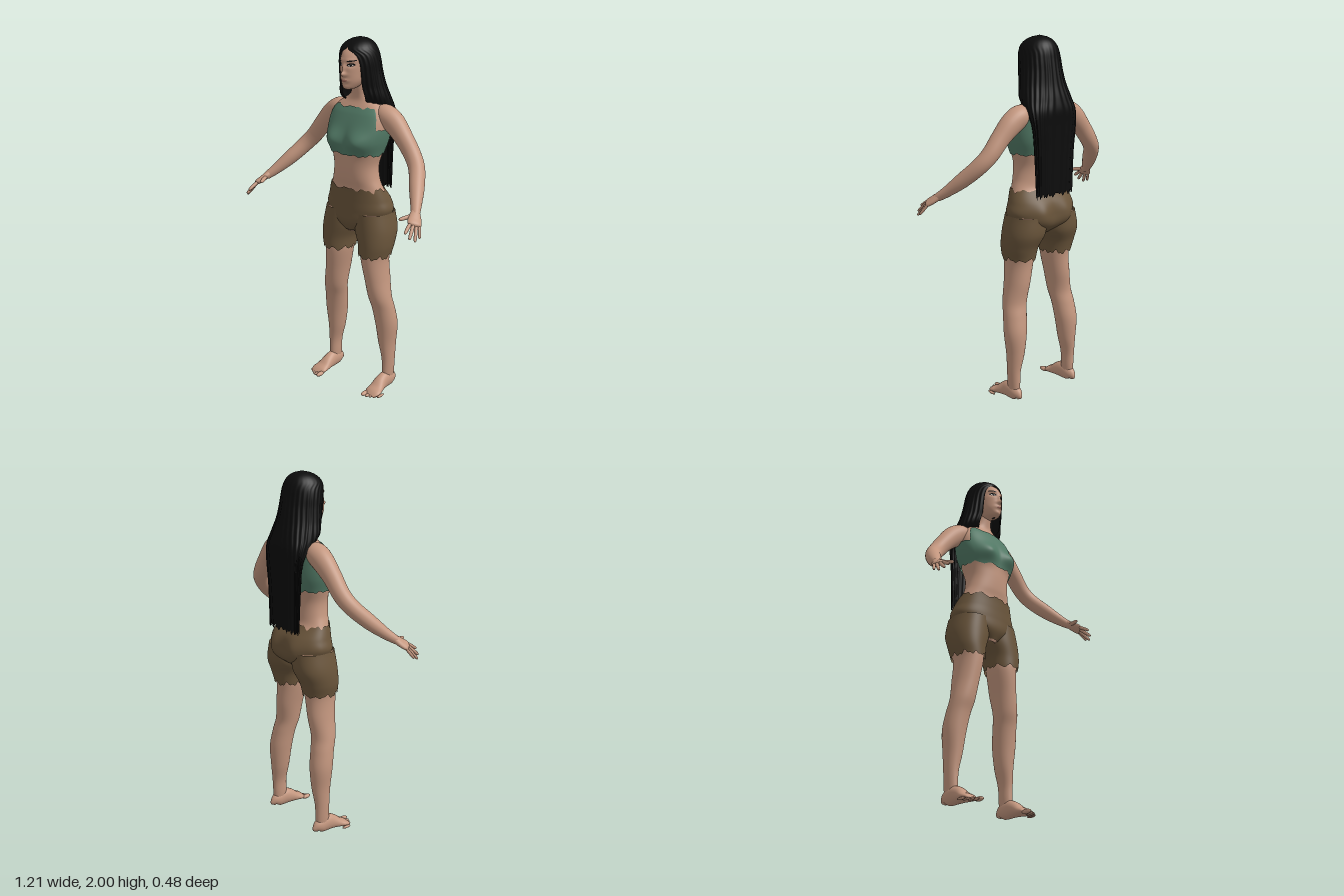
import * as THREE from 'three';
import { mergeVertices } from 'three/addons/utils/BufferGeometryUtils.js';

const V3 = THREE.Vector3, TAU = Math.PI * 2;
const { lerp, clamp, smoothstep } = THREE.MathUtils;
const bell = (d, s) => Math.exp(-(d * d) / (s * s));

// Smooth interpolation of a table whose first column is the ascending key
function sample(t, k) {
  let i = 0;
  while (i < t.length - 2 && k > t[i + 1][0]) i++;
  const a = t[i], b = t[i + 1], p = t[i - 1] ?? a, n = t[i + 2] ?? b;
  const h = b[0] - a[0], s = clamp((k - a[0]) / h, 0, 1), s2 = s * s, s3 = s2 * s;
  return a.map((_, c) => {
    const m0 = (b[c] - p[c]) / (b[0] - p[0]) * h, m1 = (n[c] - a[c]) / (n[0] - a[0]) * h;
    return a[c] * (2 * s3 - 3 * s2 + 1) + m0 * (s3 - 2 * s2 + s) + b[c] * (3 * s2 - 2 * s3) + m1 * (s3 - s2);
  });
}

// Smooth surface from a function of u (around) and v (along)
function surface(fn, nu, nv) {
  const pos = [], idx = [];
  for (let j = 0; j <= nv; j++) for (let i = 0; i <= nu; i++) pos.push(...fn(i / nu, j / nv).toArray());
  for (let j = 0; j < nv; j++) for (let i = 0; i < nu; i++) {
    const a = j * (nu + 1) + i, b = a + 1, c = b + nu + 1, d = c - 1;
    idx.push(a, b, c, a, c, d);
  }
  let g = new THREE.BufferGeometry();
  g.setAttribute('position', new THREE.Float32BufferAttribute(pos, 3));
  g.setIndex(idx);
  g = mergeVertices(g, 1e-5);
  g.computeVertexNormals();
  return g;
}

// Point on a level cross-section; rows are [y, centre x, front z, back z, half width, squareness]
function ring(table, y, a, off = 0) {
  const [, cx, zf, zb, hw, p] = sample(table, y);
  const pw = (v) => Math.sign(v) * Math.abs(v) ** (2 / p);
  return new V3(cx + (hw + off) * pw(Math.sin(a)), y, (zf + zb) / 2 + ((zf - zb) / 2 + off) * pw(Math.cos(a)));
}

// Limb along a path; rows are [x, y, z, radius along side, other radius]
function limb(rows, side, nu = 24, nv = 40) {
  const t = rows.map((r, i) => [i, ...r]), last = rows.length - 1;
  const at = (k) => new V3(...sample(t, k).slice(1, 4));
  return surface((u, v) => {
    const k = v * last, r = sample(t, k), a = u * TAU;
    const dir = at(Math.min(k + 0.05, last)).sub(at(Math.max(k - 0.05, 0))).normalize();
    const U = side.clone().addScaledVector(dir, -side.dot(dir)).normalize(), W = dir.clone().cross(U);
    return at(k).addScaledVector(U, Math.cos(a) * Math.max(r[4], 0)).addScaledVector(W, Math.sin(a) * Math.max(r[5], 0));
  }, nu, nv);
}

function mirrored(g) {
  const m = g.clone().scale(-1, 1, 1), ix = m.index.array;
  for (let i = 0; i < ix.length; i += 3) [ix[i], ix[i + 1]] = [ix[i + 1], ix[i]];
  m.computeVertexNormals();
  return m;
}

const TORSO = [
  [0.94, 0, 0, -0.12, 0.04, 2], [1.0, 0, 0.028, -0.195, 0.15, 2.2], [1.07, 0, 0.028, -0.205, 0.2, 2.2],
  [1.13, 0, 0.026, -0.195, 0.186, 2.2], [1.2, 0, 0.026, -0.15, 0.16, 2.2], [1.25, 0, 0.035, -0.145, 0.142, 2.2],
  [1.32, 0, 0.04, -0.15, 0.134, 2.2], [1.39, 0, 0.04, -0.165, 0.15, 2.3], [1.46, 0, 0.04, -0.18, 0.17, 2.5],
  [1.53, 0, 0.025, -0.185, 0.178, 2.5], [1.6, 0, -0.005, -0.185, 0.17, 2.5], [1.64, 0, -0.03, -0.175, 0.145, 2.4],
  [1.67, 0, -0.045, -0.165, 0.1, 2.2], [1.7, 0, -0.045, -0.15, 0.062, 2], [1.79, 0, -0.03, -0.14, 0.046, 2]];
const LEG = [
  [0.03, 0.2, -0.06, -0.14, 0.025, 2], [0.1, 0.2, -0.06, -0.145, 0.03, 2], [0.18, 0.2, -0.06, -0.148, 0.034, 2],
  [0.28, 0.19, -0.05, -0.16, 0.048, 2], [0.4, 0.186, -0.036, -0.165, 0.063, 2], [0.5, 0.175, -0.02, -0.148, 0.066, 2],
  [0.57, 0.163, 0, -0.135, 0.067, 2], [0.68, 0.144, 0.015, -0.147, 0.067, 2], [0.8, 0.128, 0.028, -0.152, 0.074, 2],
  [0.88, 0.13, 0.028, -0.17, 0.085, 2.1], [0.96, 0.115, 0.025, -0.2, 0.1, 2.2], [1.06, 0.1, 0.018, -0.2, 0.094, 2.2]];
const HEAD = [
  [1.732, 0, 0.015, -0.01, 0.004, 2], [1.738, 0, 0.033, -0.035, 0.024, 2], [1.752, 0, 0.042, -0.07, 0.041, 2],
  [1.78, 0, 0.047, -0.1, 0.058, 2], [1.82, 0, 0.05, -0.14, 0.068, 2], [1.87, 0, 0.049, -0.16, 0.073, 2],
  [1.92, 0, 0.034, -0.165, 0.072, 2], [1.955, 0, -0.002, -0.15, 0.06, 2], [1.985, 0, -0.07, -0.1, 0.005, 2]];
// Hair rows carry a seventh value: half width of the opening at the face
const HAIR = [
  [1.16, 0, -0.188, -0.224, 0.122, 2.8, 0], [1.4, 0, -0.175, -0.23, 0.13, 2.8, 0], [1.55, 0, -0.165, -0.236, 0.143, 2.8, 0],
  [1.62, 0, -0.11, -0.24, 0.149, 2.7, 0.03], [1.68, 0, -0.03, -0.23, 0.145, 2.4, 0.073], [1.75, 0, 0, -0.213, 0.13, 2.1, 0.07],
  [1.82, 0, 0.02, -0.2, 0.119, 2, 0.072], [1.88, 0, 0.028, -0.19, 0.113, 2, 0.068], [1.92, 0, 0.03, -0.183, 0.105, 2, 0.05],
  [1.95, 0, 0.022, -0.172, 0.092, 2, 0], [1.975, 0, -0.005, -0.152, 0.07, 2, 0], [1.992, 0, -0.042, -0.122, 0.038, 2, 0],
  [2.0, 0, -0.08, -0.084, 0.002, 2, 0]];

function torsoPoint(y, a, off) {
  const p = ring(TORSO, y, a, off), front = smoothstep(Math.cos(a), 0, 0.5), back = smoothstep(-Math.cos(a), 0, 0.5);
  p.z += 0.035 * front * bell(Math.abs(p.x) - 0.085, 0.065) * bell(y - 1.46, 0.055);
  p.z -= 0.024 * back * bell(Math.abs(p.x) - 0.085, 0.055) * bell(y - 1.06, 0.07);
  return p;
}

// Relief of nose, lips, chin, brow and eye sockets
function faceRelief(x, y) {
  const ax = Math.abs(x);
  return 0.017 * bell(x, 0.01) * bell(y - 1.82, 0.013) + 0.01 * bell(x, 0.01) * bell(y - 1.848, 0.022)
    + 0.006 * bell(x, 0.02) * bell(y - 1.817, 0.01) + 0.007 * bell(x, 0.024) * bell(y - 1.785, 0.01)
    + 0.005 * bell(x, 0.025) * bell(y - 1.75, 0.012) + 0.004 * bell(ax - 0.03, 0.025) * bell(y - 1.89, 0.01)
    - 0.008 * bell(ax - 0.033, 0.018) * bell(y - 1.866, 0.012);
}
function headPoint(y, a) {
  const p = ring(HEAD, y, a);
  p.z += faceRelief(p.x, y) * smoothstep(Math.cos(a), 0, 0.4);
  return p;
}

// Thin oval painted on the face
function facePaint(cx, cy, rx, ry, tilt, lift) {
  const g = new THREE.RingGeometry(0.001, 1, 24, 4).scale(rx, ry, 1).rotateZ(tilt).translate(cx, cy, 0);
  const p = g.attributes.position;
  for (let i = 0; i < p.count; i++) {
    const x = p.getX(i), y = p.getY(i), [, , zf, zb, hw] = sample(HEAD, y);
    p.setZ(i, (zf + zb) / 2 + (zf - zb) / 2 * Math.sqrt(Math.max(0, 1 - (x / hw) ** 2)) + faceRelief(x, y) + lift);
  }
  g.computeVertexNormals();
  return g;
}

// Torn cloth edge
const tear = (a, amp) => amp * (Math.abs(Math.sin(a * 4.5)) ** 6 * 1.2 + 0.5 * Math.sin(a * 13 + 1) * Math.sin(a * 7));

export function createModel() {
  const root = new THREE.Group();
  const material = (name, color, open) => {
    const m = new THREE.MeshStandardMaterial({ color });
    m.name = name;
    if (open) m.side = THREE.DoubleSide;
    return m;
  };
  const skin = material('skin', 0xc4977f), green = material('green cloth', 0x527a66, true);
  const brown = material('brown cloth', 0x6a553b, true), black = material('black hair', 0x0c0c0c, true);
  const lipTone = material('lips', 0xa06c5e), white = material('eye white', 0xd2c8c0);
  const add = (name, geo, mat) => {
    const m = new THREE.Mesh(geo, mat);
    m.name = name;
    root.add(m);
  };
  const pair = (name, geo, mat) => {
    add(name + 'Left', geo, mat);
    add(name + 'Right', mirrored(geo), mat);
  };

  // Body and head
  add('torso', surface((u, v) => torsoPoint(lerp(0.94, 1.79, v), u * TAU, 0), 64, 80), skin);
  add('head', surface((u, v) => headPoint(lerp(1.732, 1.985, v), u * TAU), 120, 90), skin);
  pair('leg', surface((u, v) => ring(LEG, lerp(0.03, 1.06, v), u * TAU), 40, 70), skin);

  // Face details
  pair('eyeOutline', facePaint(0.034, 1.867, 0.018, 0.0085, 0.1, 0.002), black);
  pair('eyeWhite', facePaint(0.034, 1.865, 0.012, 0.0042, 0.1, 0.0032), white);
  pair('iris', facePaint(0.034, 1.865, 0.0048, 0.0045, 0, 0.0042), black);
  pair('eyebrow', facePaint(0.037, 1.888, 0.021, 0.0034, 0.14, 0.0025), black);
  add('upperLip', facePaint(0, 1.788, 0.021, 0.0035, 0, 0.002), lipTone);
  add('lowerLip', facePaint(0, 1.781, 0.017, 0.0042, 0, 0.002), lipTone);

  // Long hair, parted around the face and falling down the back
  add('hair', surface((u, v) => {
    const fray = 0.014 * Math.sin(u * 160) * Math.sin(u * 61);
    const y = lerp(1.175 + fray, 2, v), [, , , , hw, p, gap] = sample(HAIR, y);
    const open = Math.asin(clamp(gap / hw, 0, 1) ** (p / 2)), a = lerp(open, TAU - open, u);
    const strand = 0.0022 * Math.sin(u * TAU * 22) * smoothstep(2 - y, 0.01, 0.2);
    return ring(HAIR, y, a, strand);
  }, 200, 90), black);

  // Torn top, cut away at the shoulders
  add('top', surface((u, v) => {
    const a = u * TAU, cut = smoothstep(Math.abs(Math.sin(a)), 0.78, 0.95);
    const hi = 1.638 - 0.11 * cut - tear(a, 0.008 + 0.022 * cut * (1 - cut) * 4);
    return torsoPoint(lerp(1.384 + tear(a, 0.008), hi, v), a, 0.007);
  }, 160, 40), green);

  // Torn shorts
  add('shortsSeat', surface((u, v) => torsoPoint(lerp(0.95, 1.2 - tear(u * TAU, 0.013), v), u * TAU, 0.007), 128, 36), brown);
  pair('shortsLeg', surface((u, v) => ring(LEG, lerp(0.812 + tear(u * TAU, 0.014), 1.06, v), u * TAU, 0.01), 96, 30), brown);

  // Arms
  pair('arm', limb([
    [0.1, 1.605, -0.11, 0.04, 0.04], [0.155, 1.597, -0.11, 0.06, 0.058], [0.215, 1.56, -0.11, 0.057, 0.06],
    [0.28, 1.495, -0.105, 0.05, 0.051], [0.345, 1.415, -0.098, 0.046, 0.046], [0.395, 1.355, -0.07, 0.044, 0.043],
    [0.45, 1.28, 0, 0.041, 0.039], [0.498, 1.217, 0.068, 0.03, 0.029], [0.53, 1.18, 0.115, 0.022, 0.022]],
    new V3(0, 0, 1), 32, 70), skin);

  // Hands: palm, then fingers as [knuckle, tip, radius]
  pair('palm', limb([
    [0.515, 1.197, 0.095, 0.02, 0.02], [0.527, 1.184, 0.113, 0.027, 0.019], [0.545, 1.163, 0.14, 0.036, 0.017],
    [0.56, 1.147, 0.163, 0.034, 0.014], [0.566, 1.14, 0.172, 0.001, 0.001]], new V3(0.7, -0.32, -0.63)), skin);
  const fingers = [
    [[0.543, 1.156, 0.172], [0.555, 1.117, 0.235], 0.0095], [[0.557, 1.147, 0.168], [0.579, 1.09, 0.228], 0.0095],
    [[0.568, 1.14, 0.157], [0.598, 1.076, 0.206], 0.009], [[0.577, 1.139, 0.143], [0.604, 1.087, 0.176], 0.008],
    [[0.523, 1.18, 0.125], [0.49, 1.168, 0.2], 0.011]];
  fingers.forEach(([k, t, r], i) => {
    const rows = [[-0.15, 1], [0.2, 1], [0.5, 1], [0.75, 0.9], [0.93, 0.7], [1, 0.02]].map(([s, w]) =>
      [...k.map((c, j) => lerp(c, t[j], s)), r * w, r * w]);
    pair(i < 4 ? 'finger' + (i + 1) : 'thumb', limb(rows, new V3(0.7, -0.32, -0.63), 12, 16), skin);
  });

  // Feet: rows of [z, centre x, height, half width] lofted from heel to ball
  const foot = [[-0.15, 0.2, 0.03, 0.002], [-0.143, 0.2, 0.06, 0.02], [-0.12, 0.2, 0.085, 0.031], [-0.075, 0.2, 0.098, 0.034],
    [-0.035, 0.2, 0.084, 0.037], [0.01, 0.204, 0.052, 0.044], [0.045, 0.207, 0.034, 0.048], [0.072, 0.204, 0.012, 0.03]];
  pair('foot', limb(foot.map(([z, x, h, w]) => [x, 0.004 + h / 2, z, w, h / 2]), new V3(1, 0, 0), 32, 40), skin);
  for (let i = 0; i < 5; i++) {
    const r = i ? 0.0105 - i * 0.0005 : 0.0145, tip = 0.103 - 0.004 * i - 0.0016 * i * i;
    const toe = new THREE.SphereGeometry(1, 14, 10).scale(r, r * 0.85, 0.03);
    pair('toe' + (i + 1), toe.translate(0.172 + 0.0195 * i + (i ? 0.004 : 0), r * 0.85 + 0.002, tip - 0.03), skin);
  }
  return root;
}
